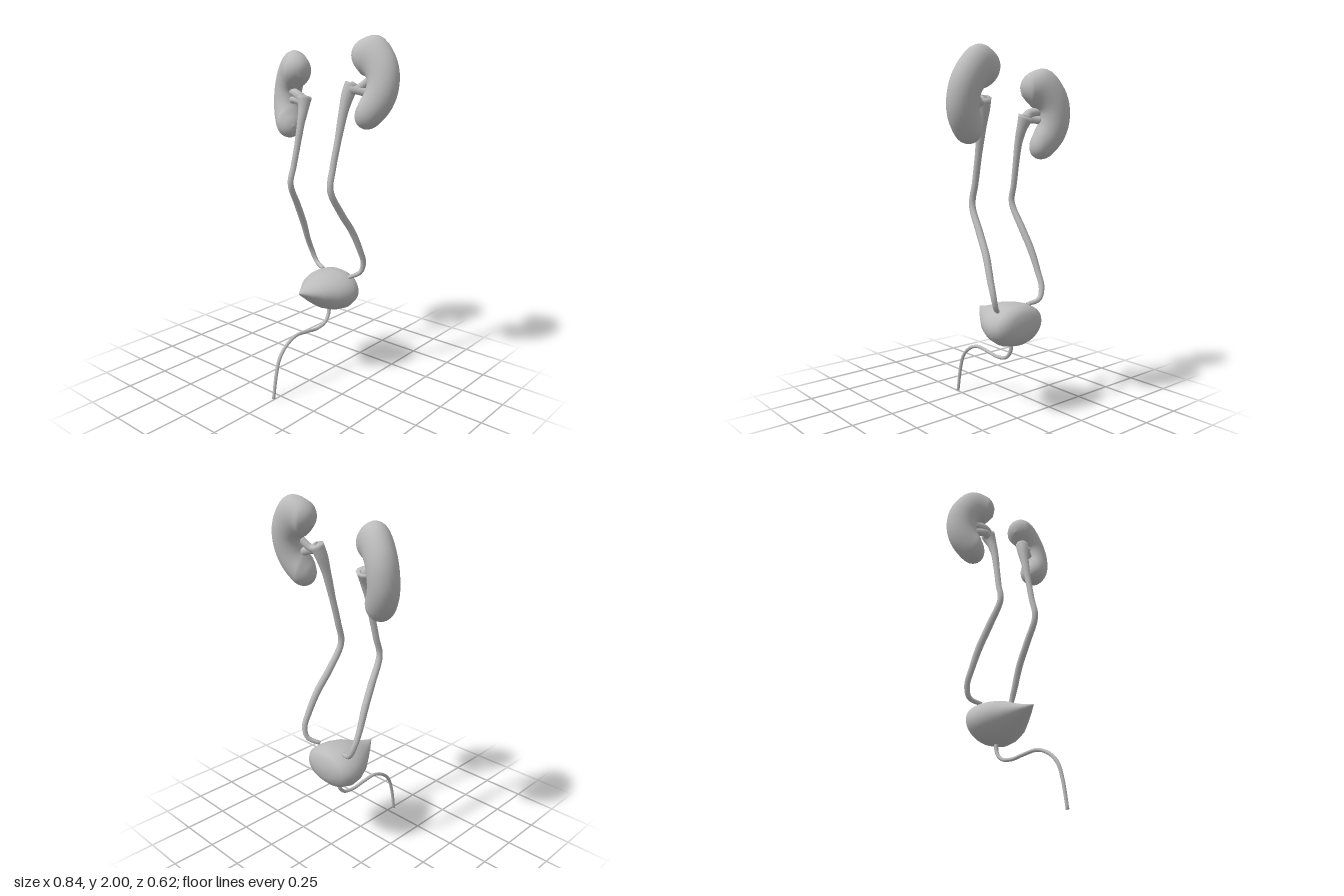
import * as THREE from 'three';

const V = (x, y, z) => new THREE.Vector3(x, y, z);

// Skin a series of closed rings and cap both ends
function loft(rings) {
  const n = rings[0].length, last = (rings.length - 1) * n;
  const pts = rings.flat(), idx = [];
  for (let i = 0; i < rings.length - 1; i++) {
    for (let j = 0; j < n; j++) {
      const a = i * n + j, b = i * n + (j + 1) % n;
      idx.push(a, b, a + n, b, b + n, a + n);
    }
  }
  const middle = (ring) => ring.reduce((s, p) => s.add(p), V(0, 0, 0)).divideScalar(n);
  const s = pts.length, e = s + 1;
  const all = [...pts, middle(rings[0]), middle(rings[rings.length - 1])];
  for (let j = 0; j < n; j++) {
    const k = (j + 1) % n;
    idx.push(s, k, j, e, last + j, last + k);
  }
  const geo = new THREE.BufferGeometry().setFromPoints(all);
  geo.setIndex(idx);
  geo.computeVertexNormals();
  return geo;
}

// Tube whose radius varies: each point is [x, y, z, radius]
function taperedTube(points, segments, sides) {
  const curve = new THREE.CatmullRomCurve3(points.map((p) => V(p[0], p[1], p[2])));
  const frames = curve.computeFrenetFrames(segments);
  const rings = [];
  for (let i = 0; i <= segments; i++) {
    const u = i / segments, f = curve.getUtoTmapping(u) * (points.length - 1);
    const k = Math.min(Math.floor(f), points.length - 2);
    const r = THREE.MathUtils.lerp(points[k][3], points[k + 1][3], f - k);
    const c = curve.getPointAt(u), ring = [];
    for (let j = 0; j < sides; j++) {
      const a = (j / sides) * Math.PI * 2;
      ring.push(c.clone()
        .addScaledVector(frames.normals[i], r * Math.cos(a))
        .addScaledVector(frames.binormals[i], r * Math.sin(a)));
    }
    rings.push(ring);
  }
  return loft(rings);
}

// Bean shape: elliptical sections fanned around the hilum
function kidneyGeometry(side) {
  // angle / 100, inner radius, outer radius
  const fan = [
    [1.2, 0.12, 0.124], [1.14, 0.085, 0.17], [1.05, 0.062, 0.205], [0.9, 0.044, 0.238], [0.73, 0.042, 0.26],
    [0.45, 0.042, 0.236], [0.2, 0.042, 0.222], [0, 0.042, 0.217], [-0.25, 0.046, 0.222],
    [-0.5, 0.058, 0.234], [-0.7, 0.075, 0.248], [-0.82, 0.1, 0.236], [-0.9, 0.13, 0.205], [-0.93, 0.165, 0.169],
  ];
  const curve = new THREE.CatmullRomCurve3(fan.map((p) => V(...p)));
  const rings = [], steps = 52, sides = 28;
  for (let i = 0; i <= steps; i++) {
    const p = curve.getPoint(i / steps);
    const a = THREE.MathUtils.degToRad(p.x * 100);
    const mid = (p.y + p.z) / 2, half = (p.z - p.y) / 2;
    const depth = 0.08 * Math.min(1, half / 0.085);
    const ring = [];
    for (let j = 0; j < sides; j++) {
      const b = (j / sides) * Math.PI * 2, r = mid + half * Math.cos(b);
      ring.push(V(side * (r * Math.cos(a) - 0.082), r * Math.sin(a) * 1.02, depth * Math.sin(b)));
    }
    rings.push(side < 0 ? ring.reverse() : ring);
  }
  return loft(rings);
}

// Pear-shaped bladder: sections [z, half width, bottom, top] from the apex back
function bladderGeometry() {
  const sections = [
    [0.085, 0.002, 0.573, 0.577], [0.07, 0.014, 0.56, 0.581], [0.03, 0.046, 0.53, 0.588],
    [-0.03, 0.092, 0.485, 0.607], [-0.1, 0.142, 0.437, 0.634], [-0.16, 0.168, 0.413, 0.645],
    [-0.21, 0.176, 0.406, 0.648], [-0.26, 0.165, 0.42, 0.644], [-0.29, 0.135, 0.45, 0.628],
    [-0.305, 0.09, 0.487, 0.6], [-0.31, 0.03, 0.525, 0.56],
  ];
  return loft(sections.map(([z, w, lo, hi]) => {
    const ring = [];
    for (let j = 0; j < 40; j++) {
      const a = (j / 40) * Math.PI * 2;
      ring.push(V(-0.005 + w * Math.cos(a), (lo + hi) / 2 - ((hi - lo) / 2) * Math.sin(a), z));
    }
    return ring;
  }));
}

export function createModel() {
  const model = new THREE.Group();
  const grey = new THREE.MeshStandardMaterial({ color: 0xbcbcbc });
  grey.name = 'softGrey';
  const add = (name, geo) => {
    const mesh = new THREE.Mesh(geo, grey);
    mesh.name = name;
    model.add(mesh);
    return mesh;
  };

  // Kidneys
  const left = add('leftKidney', kidneyGeometry(1));
  left.position.set(0.286, 1.75, -0.2);
  left.rotation.set(-0.2, 0.15, 0, 'YXZ');
  const right = add('rightKidney', kidneyGeometry(-1));
  right.position.set(-0.288, 1.665, -0.16);
  right.rotation.set(-0.08, -0.5, 0, 'YXZ');

  // Ureters, flaring into the renal pelvis at the top
  add('leftUreter', taperedTube([
    [0.165, 1.75, -0.16, 0.04], [0.152, 1.69, -0.14, 0.036], [0.143, 1.6, -0.115, 0.026],
    [0.136, 1.45, -0.08, 0.019], [0.13, 1.3, -0.045, 0.018], [0.132, 1.18, -0.022, 0.018],
    [0.145, 1.04, -0.1, 0.02], [0.165, 0.92, -0.18, 0.02], [0.182, 0.8, -0.235, 0.018],
    [0.186, 0.72, -0.265, 0.016], [0.168, 0.655, -0.262, 0.014], [0.115, 0.622, -0.215, 0.012],
  ], 70, 10));
  add('rightUreter', taperedTube([
    [-0.158, 1.66, -0.135, 0.044], [-0.147, 1.6, -0.115, 0.03], [-0.144, 1.52, -0.09, 0.022],
    [-0.148, 1.4, -0.065, 0.018], [-0.155, 1.28, -0.04, 0.017], [-0.16, 1.18, -0.018, 0.017],
    [-0.172, 1.04, -0.09, 0.02], [-0.184, 0.92, -0.155, 0.02], [-0.191, 0.8, -0.205, 0.017],
    [-0.188, 0.72, -0.24, 0.016], [-0.16, 0.655, -0.25, 0.014], [-0.09, 0.63, -0.228, 0.012],
  ], 70, 10));

  // Short branches from each pelvis into the hilum
  const branches = {
    leftCalyx: [
      [[0.165, 1.73, -0.15, 0.034], [0.2, 1.725, -0.165, 0.022], [0.255, 1.77, -0.19, 0.02]],
      [[0.165, 1.72, -0.14, 0.03], [0.205, 1.715, -0.155, 0.022], [0.255, 1.7, -0.185, 0.024]],
    ],
    rightCalyx: [
      [[-0.155, 1.64, -0.13, 0.034], [-0.195, 1.675, -0.12, 0.026], [-0.26, 1.69, -0.145, 0.024]],
      [[-0.155, 1.63, -0.125, 0.028], [-0.2, 1.645, -0.115, 0.022], [-0.26, 1.64, -0.145, 0.022]],
    ],
  };
  for (const [name, paths] of Object.entries(branches)) {
    paths.forEach((path, i) => add(name + (i ? 'Lower' : 'Upper'), taperedTube(path, 10, 8)));
  }

  // Bladder and the outlet tube below it
  add('bladder', bladderGeometry());
  add('urethra', taperedTube([
    [-0.008, 0.43, -0.19, 0.012], [-0.008, 0.365, -0.182, 0.011], [-0.008, 0.322, -0.145, 0.01],
    [-0.008, 0.308, -0.07, 0.01], [-0.008, 0.318, 0.01, 0.01], [-0.008, 0.325, 0.11, 0.01],
    [-0.008, 0.292, 0.19, 0.01], [-0.008, 0.235, 0.245, 0.01], [-0.008, 0.15, 0.274, 0.01],
    [-0.008, 0.002, 0.3, 0.009],
  ], 50, 10));

  return model;
}
